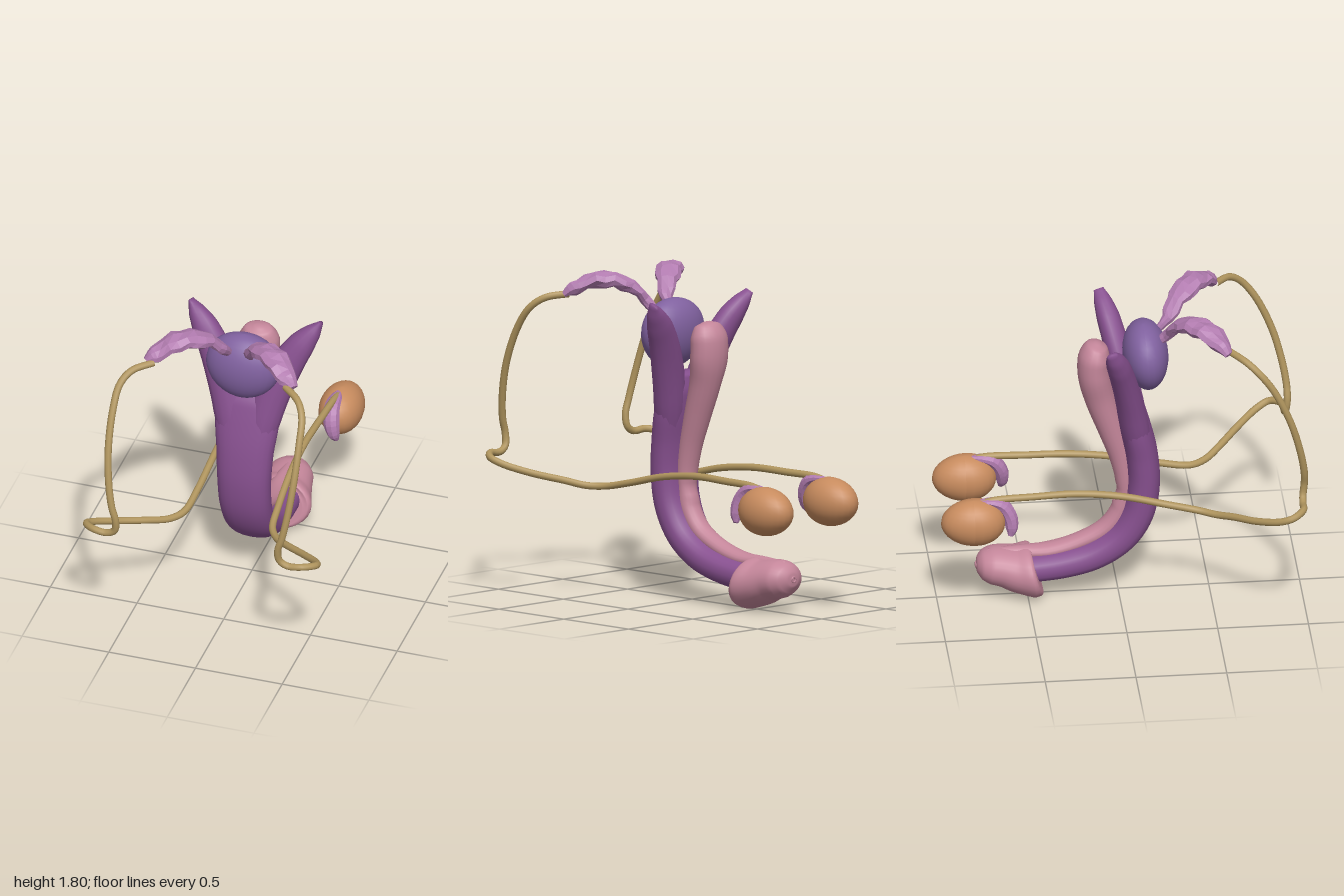
import * as THREE from 'three';

const V = (p) => new THREE.Vector3(...p);
const mat = (color, flatShading = false) => new THREE.MeshStandardMaterial({ color, flatShading });

// Closed loft: rows are [x, y, z, halfWidth, halfThickness]; ref is the width direction
function loft(rows, ref, steps = 32, sides = 20, power = 1) {
  const path = new THREE.CatmullRomCurve3(rows.map((r) => V(r.slice(0, 3))));
  const size = new THREE.CatmullRomCurve3(rows.map((r) => V([r[3], r[4], 0])));
  const pos = [], idx = [];
  const bend = (v) => Math.sign(v) * Math.abs(v) ** power;
  for (let i = 0; i <= steps; i++) {
    const c = path.getPoint(i / steps), s = size.getPoint(i / steps), t = path.getTangent(i / steps);
    const a = V(ref).addScaledVector(t, -t.dot(V(ref))).normalize();
    const b = new THREE.Vector3().crossVectors(t, a);
    for (let j = 0; j < sides; j++) {
      const k = (j / sides) * Math.PI * 2;
      const p = c.clone().addScaledVector(a, s.x * bend(Math.cos(k))).addScaledVector(b, s.y * bend(Math.sin(k)));
      pos.push(p.x, p.y, p.z);
    }
  }
  for (let i = 0; i < steps; i++) {
    for (let j = 0; j < sides; j++) {
      const p = i * sides + j, q = i * sides + ((j + 1) % sides);
      idx.push(p, q, p + sides, q, q + sides, p + sides);
    }
  }
  // end caps
  const last = steps * sides;
  pos.push(...rows[0].slice(0, 3), ...rows[rows.length - 1].slice(0, 3));
  const c0 = last + sides, c1 = c0 + 1;
  for (let j = 0; j < sides; j++) {
    const n = (j + 1) % sides;
    idx.push(c0, n, j, c1, last + j, last + n);
  }
  const g = new THREE.BufferGeometry();
  g.setAttribute('position', new THREE.Float32BufferAttribute(pos, 3));
  g.setIndex(idx);
  g.computeVertexNormals();
  return g;
}

// Moves every vertex by a rule
function warp(g, rule) {
  const p = g.attributes.position, v = new THREE.Vector3();
  for (let i = 0; i < p.count; i++) {
    v.fromBufferAttribute(p, i);
    rule(v);
    p.setXYZ(i, v.x, v.y, v.z);
  }
  g.computeVertexNormals();
  return g;
}

export function createModel() {
  const group = new THREE.Group();
  const add = (name, geometry, material) => {
    const m = new THREE.Mesh(geometry, material);
    m.name = name;
    group.add(m);
    return m;
  };
  const purple = mat(0x87508f), pink = mat(0xc4869a), violet = mat(0x80619f);
  const lilac = mat(0xb27cb0, true), orange = mat(0xc78b5e), tan = mat(0xb0955e);
  const X = [1, 0, 0];

  // Curved main shaft
  add('cavernousBody', loft([
    [0, 1.27, 0.04, 0.13, 0.04], [0, 1.18, 0.06, 0.18, 0.075], [0, 1.05, 0.09, 0.18, 0.085],
    [0, 0.88, 0.125, 0.16, 0.09], [0, 0.7, 0.138, 0.15, 0.092], [0, 0.52, 0.11, 0.145, 0.092],
    [0, 0.37, 0.025, 0.14, 0.09], [0, 0.265, -0.12, 0.135, 0.088], [0, 0.21, -0.3, 0.13, 0.085],
    [0, 0.18, -0.55, 0.12, 0.08],
  ], X, 48, 24, 0.85), purple);

  // Back strand with its bulb, running on into a thin ridge
  add('spongyBody', loft([
    [0, 1.565, -0.11, 0.02, 0.015], [0, 1.545, -0.115, 0.08, 0.06], [0, 1.47, -0.13, 0.115, 0.09],
    [0, 1.37, -0.13, 0.115, 0.092], [0, 1.22, -0.1, 0.09, 0.085], [0, 1.03, -0.04, 0.075, 0.075],
    [0, 0.85, 0.015, 0.065, 0.065], [0, 0.68, 0.04, 0.062, 0.055], [0, 0.53, 0.02, 0.062, 0.055],
    [0, 0.41, -0.06, 0.062, 0.05], [0, 0.33, -0.2, 0.06, 0.045], [0, 0.28, -0.38, 0.06, 0.04],
    [0, 0.275, -0.56, 0.04, 0.035], [0, 0.275, -0.72, 0.018, 0.025],
  ], X, 60, 18), pink);

  // Rounded tip with a slanted, flared rim
  const glans = loft([
    [0, 0.155, -0.45, 0.14, 0.11], [0, 0.155, -0.455, 0.172, 0.138], [0, 0.158, -0.48, 0.185, 0.148],
    [0, 0.168, -0.55, 0.163, 0.134], [0, 0.19, -0.63, 0.14, 0.115], [0, 0.2, -0.7, 0.126, 0.104],
    [0, 0.203, -0.75, 0.095, 0.08], [0, 0.203, -0.778, 0.045, 0.04], [0, 0.203, -0.783, 0.012, 0.012],
  ], X, 40, 28);
  add('glans', warp(glans, (v) => {
    const fade = Math.max(0, 1 - (-0.45 - v.z) / 0.25);
    v.z -= (v.y - 0.16) * 0.28 * Math.min(1, fade);
  }), pink);
  const opening = add('tipOpening', new THREE.TorusGeometry(0.014, 0.005, 8, 16), pink);
  opening.position.set(0, 0.205, -0.783);

  // Egg-shaped gland, narrower below
  const prostate = add('prostate', warp(new THREE.SphereGeometry(1, 28, 18), (v) => {
    const w = 1 + 0.06 * v.y;
    v.set(v.x * 0.212 * w, v.y * 0.195, v.z * 0.125 * w);
  }), violet);
  prostate.position.set(0, 1.475, 0.152);
  prostate.rotation.x = -0.08;

  // Mirrored parts
  for (const s of [1, -1]) {
    const side = s > 0 ? 'left' : 'right';
    const flip = (rows) => rows.map(([x, ...r]) => [x * s, ...r]);

    add(side + 'Crus', loft(flip([
      [0.075, 0.93, 0.11, 0.07, 0.07], [0.1, 1.12, 0.075, 0.098, 0.08], [0.15, 1.3, 0.04, 0.1, 0.075],
      [0.215, 1.45, 0.005, 0.09, 0.07], [0.28, 1.56, -0.025, 0.075, 0.065],
      [0.335, 1.635, -0.05, 0.048, 0.05], [0.375, 1.69, -0.07, 0.012, 0.028],
    ]), [s, 0, 0], 24, 14), purple);

    // lumpy flattened gland
    const vesicle = loft(flip([
      [0.06, 1.59, 0.235, 0.022, 0.022], [0.085, 1.665, 0.285, 0.04, 0.03], [0.16, 1.74, 0.35, 0.066, 0.04],
      [0.25, 1.768, 0.425, 0.08, 0.046], [0.34, 1.745, 0.505, 0.066, 0.042],
      [0.395, 1.705, 0.55, 0.045, 0.034], [0.425, 1.685, 0.575, 0.025, 0.02],
    ]), [0.65 * s, 0, -0.75], 14, 9);
    add(side + 'SeminalVesicle', warp(vesicle, (v) => {
      v.y += 0.009 * Math.sin(v.x * s * 50 + v.z * 23);
      v.z += 0.007 * Math.sin(v.x * s * 41 + v.y * 37);
    }), lilac);

    // long looping duct
    const duct = new THREE.CatmullRomCurve3(flip([
      [0.25, 0.72, -0.81], [0.245, 0.742, -0.7], [0.235, 0.745, -0.5], [0.225, 0.745, -0.25],
      [0.225, 0.715, 0], [0.235, 0.655, 0.25], [0.255, 0.62, 0.42], [0.31, 0.62, 0.51],
      [0.4, 0.65, 0.6], [0.53, 0.69, 0.71], [0.64, 0.74, 0.83], [0.662, 0.77, 0.9],
      [0.6, 0.785, 0.962], [0.52, 0.78, 0.968], [0.475, 0.81, 0.972], [0.468, 0.88, 0.98],
      [0.49, 0.96, 0.978], [0.515, 1.1, 0.955], [0.535, 1.3, 0.9], [0.537, 1.5, 0.81],
      [0.525, 1.61, 0.73], [0.48, 1.665, 0.66], [0.38, 1.685, 0.575],
    ]).map(V));
    add(side + 'Duct', new THREE.TubeGeometry(duct, 160, 0.02, 10), tan);

    // egg with its narrow end to the back
    const testis = add(side + 'Testis', warp(new THREE.SphereGeometry(1, 24, 16), (v) => {
      const w = 1 + 0.06 * v.z;
      v.set(v.x * 0.122 * w, v.y * 0.135 * w, v.z * 0.178);
    }), orange);
    testis.position.set(0.252 * s, 0.615, -0.822);

    add(side + 'Epididymis', loft(flip([
      [0.245, 0.735, -0.79, 0.015, 0.012], [0.245, 0.735, -0.73, 0.035, 0.02], [0.245, 0.71, -0.66, 0.045, 0.036],
      [0.255, 0.645, -0.62, 0.046, 0.04], [0.272, 0.575, -0.612, 0.036, 0.034], [0.285, 0.535, -0.62, 0.014, 0.014],
    ]), [s, 0, 0], 14, 9), lilac);
  }
  return group;
}
